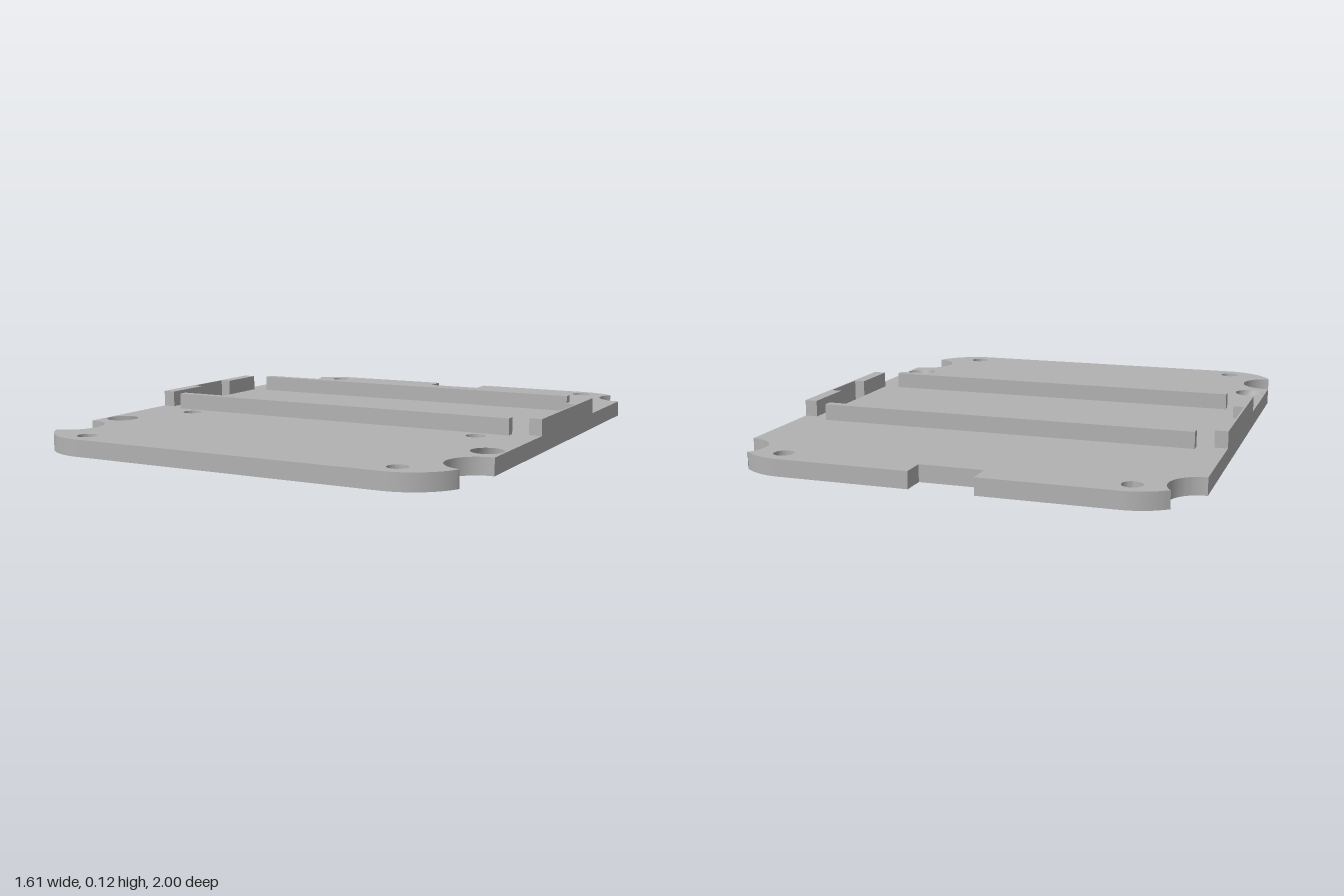
import * as THREE from 'three';
import { toCreasedNormals } from 'three/addons/utils/BufferGeometryUtils.js';

const THICK = 0.06, TOP = 0.12;
const V = (x, y) => new THREE.Vector2(x, y);

// Points along an arc, angles in degrees. Plan coordinates are (x, -z).
function arc(cx, cy, r, from, to, n = 24) {
  return Array.from({ length: n + 1 }, (_, i) => {
    const a = THREE.MathUtils.degToRad(from + (to - from) * i / n);
    return V(cx + r * Math.cos(a), cy + r * Math.sin(a));
  });
}
const circle = (x, y, r) => arc(x, y, r, 360, 0, 32).slice(0, -1);
const mirror = (pts) => pts.map((p) => V(-p.x, p.y)).reverse();

// Solid between two matching plans: loops[0] is the outline (counter-clockwise), the rest are holes (clockwise).
function solid(bottom, top, y0, y1) {
  const pos = [];
  const put = (p, y) => pos.push(p.x, y, -p.y);
  const cap = (loops, y, up) => {
    const all = loops.flat();
    for (const t of THREE.ShapeUtils.triangulateShape(loops[0], loops.slice(1))) {
      const tri = t.map((i) => all[i]);
      if ((THREE.ShapeUtils.area(tri) > 0) !== up) tri.reverse();
      tri.forEach((p) => put(p, y));
    }
  };
  cap(bottom, y0, false);
  cap(top, y1, true);
  bottom.forEach((loop, k) => loop.forEach((a, i) => {
    const j = (i + 1) % loop.length, b = loop[j], c = top[k][j], d = top[k][i];
    put(a, y0); put(b, y0); put(c, y1);
    put(a, y0); put(c, y1); put(d, y1);
  }));
  const g = new THREE.BufferGeometry();
  g.setAttribute('position', new THREE.Float32BufferAttribute(pos, 3));
  return toCreasedNormals(g, 0.5);
}

// Plate plan; the two large holes lean, so their centre differs between bottom and top
function platePlan(holeX, holeY) {
  const right = [
    ...arc(0.58, -0.78, 0.22, -90, -25),
    ...arc(0.80, -0.758, 0.111, -100, -273.5),
    ...arc(0.805, 0.88, 0.105, -89, -220),
    ...arc(0.58, 0.78, 0.22, 49, 90),
    V(0.113, 1), V(0.113, 0.913),
  ];
  const loops = [[...right, ...mirror(right)]];
  const slot = [V(0.76, 0), V(0.76, 0.2), V(0.8, 0.2), V(0.8, 0)];
  loops.push(slot, mirror(slot));
  for (const s of [-1, 1]) {
    for (const y of [0.923, -0.297, -0.918]) loops.push(circle(s * 0.6, y, 0.035));
    loops.push(circle(s * holeX, holeY, 0.057));
  }
  return loops;
}

export function createModel() {
  const group = new THREE.Group();
  const grey = new THREE.MeshStandardMaterial({ color: 0xb2b2b2 });
  grey.name = 'grey';
  const add = (name, geometry) => {
    const mesh = new THREE.Mesh(geometry, grey);
    mesh.name = name;
    group.add(mesh);
    return mesh;
  };

  // Base plate with corner cut-outs, back notch, slots and screw holes
  add('basePlate', solid(platePlan(0.721, -0.533), platePlan(0.743, -0.549), 0, THICK));

  // Side walls, each with a strap slot that leaves a thin outer skin
  const wall = [
    V(0.76, -0.2), V(0.807, -0.2), V(0.807, 0.4), V(0.76, 0.4),
    V(0.76, 0.2), V(0.8, 0.2), V(0.8, 0), V(0.76, 0),
  ];
  add('leftWall', solid([wall], [wall], THICK, TOP));
  add('rightWall', solid([mirror(wall)], [mirror(wall)], THICK, TOP));

  // Cross rails
  for (const [name, z] of [['frontRail', 0.222], ['backRail', -0.425]]) {
    add(name, new THREE.BoxGeometry(1.4, TOP - THICK, 0.034))
      .position.set(0, (TOP + THICK) / 2, z);
  }
  return group;
}
